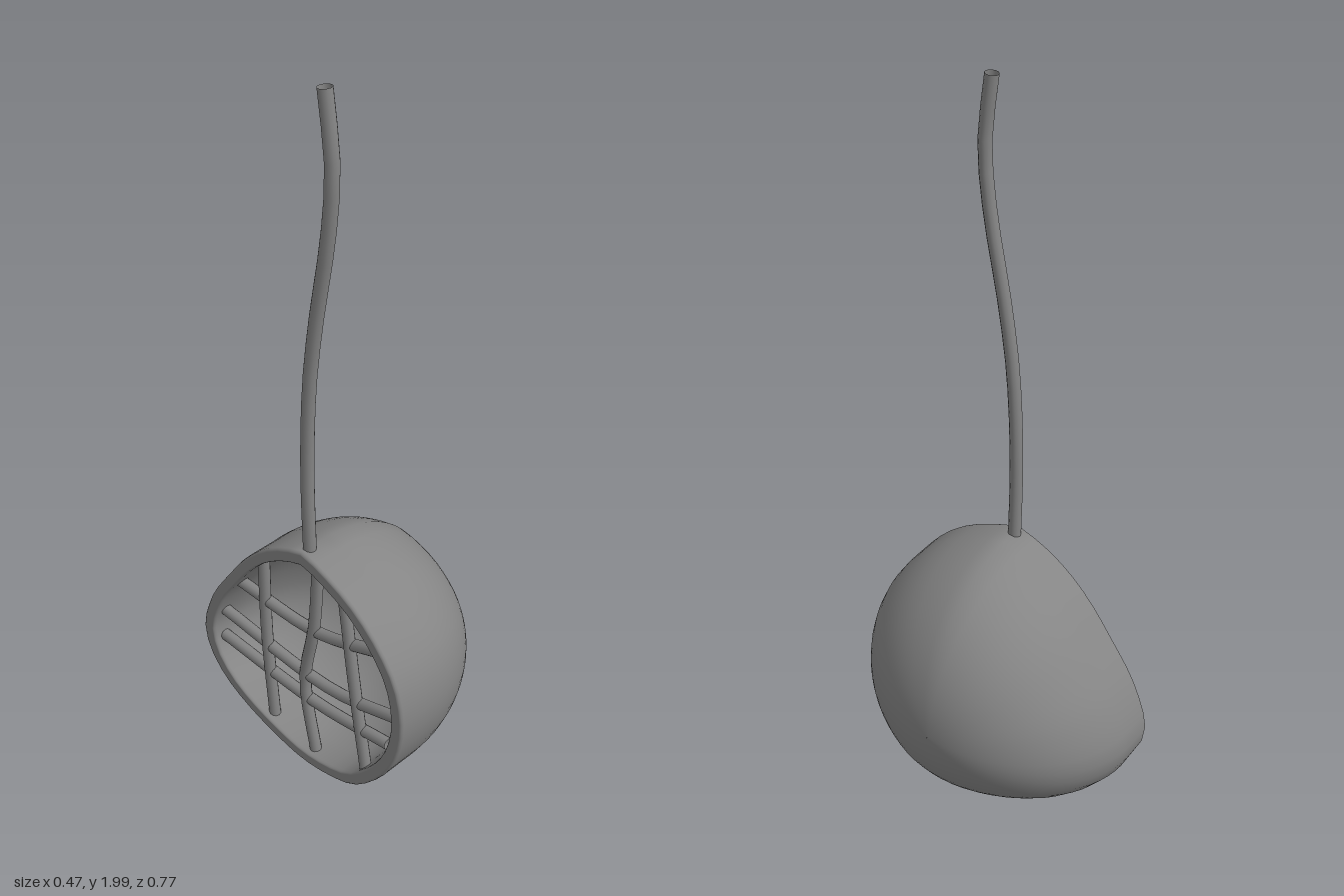
import * as THREE from 'three';

const material = new THREE.MeshStandardMaterial({ color: 0x858585, side: THREE.DoubleSide });

// Outline of the pod's flat side as [z, y], from the top round by the front
const outline = [
  [0.03, 0.76], [0.11, 0.74], [0.21, 0.695], [0.3, 0.62], [0.362, 0.53], [0.387, 0.42],
  [0.379, 0.32], [0.346, 0.225], [0.284, 0.13], [0.21, 0.058], [0.12, 0.022], [0.01, 0.006],
  [-0.1, 0.02], [-0.22, 0.053], [-0.31, 0.1], [-0.37, 0.17], [-0.387, 0.25], [-0.366, 0.33],
  [-0.33, 0.41], [-0.27, 0.5], [-0.2, 0.597], [-0.13, 0.67], [-0.06, 0.72], [-0.01, 0.745],
];
const CENTER = { y: 0.36, z: 0.02 };
const RIM_X = -0.235;

// Rings [x, scale, roundness] along a dome from its tip to the open side
function dome(tipX, baseX, scale, steps) {
  const rings = [];
  for (let i = 0; i <= steps; i++) {
    const a = (i / steps) * Math.PI / 2;
    rings.push([
      baseX + (tipX - baseX) * Math.cos(a),
      scale * Math.max(Math.sin(a), 0.002),
      0.5 * Math.cos(a),
    ]);
  }
  return rings;
}

// Hollow half pod: outer dome, rounded rim, inner dome, lofted as one skin
function podGeometry() {
  const curve = new THREE.CatmullRomCurve3(
    outline.map(([z, y]) => new THREE.Vector3(0, y - CENTER.y, z - CENTER.z)), true, 'centripetal');
  const n = 48;
  const section = curve.getSpacedPoints(n).slice(0, n);
  const rings = [
    ...dome(0.232, -0.15, 1, 20),
    [RIM_X + 0.009, 1, 0], [RIM_X + 0.003, 0.995, 0], [RIM_X, 0.984, 0], [RIM_X, 0.978, 0],
    [RIM_X, 0.91, 0], [RIM_X, 0.904, 0], [RIM_X + 0.003, 0.897, 0], [RIM_X + 0.009, 0.892, 0],
    ...dome(0.19, -0.15, 0.89, 16).reverse(),
  ];
  const positions = [], index = [];
  for (const [x, scale, roundness] of rings) {
    for (const p of section) {
      // sections grow rounder towards the tip
      const s = scale * THREE.MathUtils.lerp(1, 0.385 / p.length(), roundness);
      positions.push(x, CENTER.y + p.y * s, CENTER.z + p.z * s);
    }
  }
  for (let i = 0; i < rings.length - 1; i++) {
    for (let j = 0; j < n; j++) {
      const k = (j + 1) % n;
      const a = i * n + j, b = a + n, c = i * n + k, d = c + n;
      index.push(a, b, c, b, d, c);
    }
  }
  const g = new THREE.BufferGeometry();
  g.setAttribute('position', new THREE.Float32BufferAttribute(positions, 3));
  g.setIndex(index);
  g.computeVertexNormals();
  return g;
}

// Round open-ended rod through [z, y] points in a plane of constant x
function rod(name, x, points, radius, segments) {
  const curve = new THREE.CatmullRomCurve3(points.map(([z, y]) => new THREE.Vector3(x, y, z)));
  const mesh = new THREE.Mesh(new THREE.TubeGeometry(curve, segments, radius, 12), material);
  mesh.name = name;
  return mesh;
}

export function createModel() {
  const model = new THREE.Group();
  model.name = 'halfPodOnStem';

  const shell = new THREE.Mesh(podGeometry(), material);
  shell.name = 'podShell';
  model.add(shell);

  // Gently waving stem above the pod
  model.add(rod('stem', -0.203, [
    [0.031, 0.72], [0.028, 1.0], [0.042, 1.25], [0.068, 1.43], [0.113, 1.67], [0.127, 1.83], [0.108, 1.998],
  ], 0.0175, 16));

  // Lattice of thin rods across the open side
  const uprights = [
    [[-0.15, 0.63], [-0.15, 0.35], [-0.13, 0.045]],
    [[0.06, 0.72], [0.04, 0.5], [0, 0.28], [0.04, 0.02]],
    [[0.15, 0.69], [0.19, 0.38], [0.23, 0.12]],
  ];
  const crossbars = [
    [[-0.27, 0.47], [0.04, 0.48], [0.29, 0.57]],
    [[-0.34, 0.32], [0.09, 0.31], [0.37, 0.39]],
    [[-0.36, 0.22], [0.04, 0.22], [0.31, 0.265]],
  ];
  uprights.forEach((p) => model.add(rod('latticeUpright', -0.203, p, 0.0165, 12)));
  crossbars.forEach((p) => model.add(rod('latticeCrossbar', -0.198, p, 0.0165, 12)));

  return model;
}
